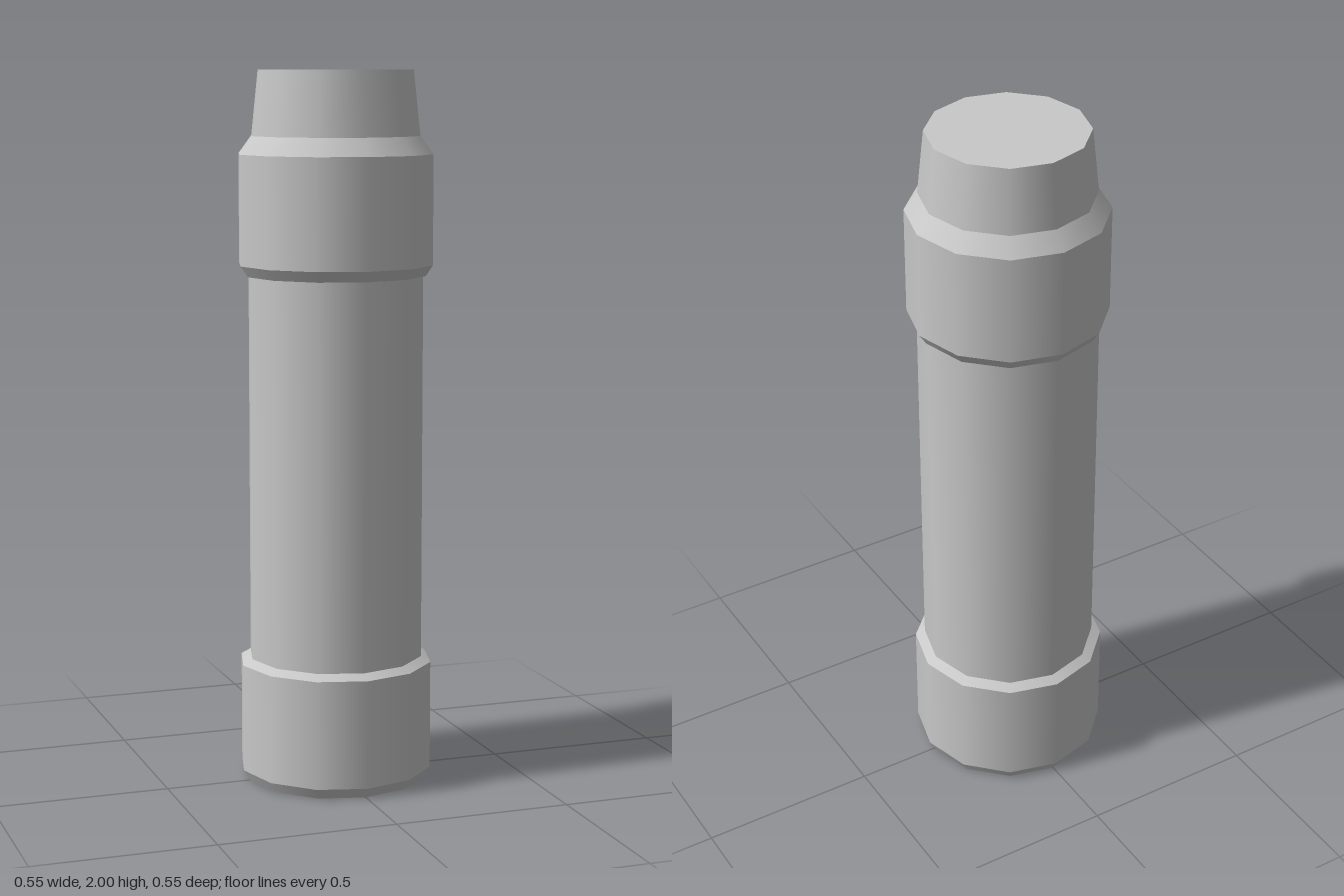
import * as THREE from 'three';
import { mergeGeometries } from 'three/addons/utils/BufferGeometryUtils.js';

const SIDES = 12;

// Stack of tapered bands from [radius, y] rings: smooth around, sharp between bands
function bands(rings, capBottom, capTop) {
  const parts = [];
  for (let i = 0; i < rings.length - 1; i++) {
    const [r0, y0] = rings[i];
    const [r1, y1] = rings[i + 1];
    parts.push(new THREE.CylinderGeometry(r1, r0, y1 - y0, SIDES, 1, true).translate(0, (y0 + y1) / 2, 0));
  }
  const cap = ([r, y], turn) => parts.push(new THREE.CircleGeometry(r, SIDES).rotateX(turn).translate(0, y, 0));
  if (capBottom) cap(rings[0], Math.PI / 2);
  if (capTop) cap(rings[rings.length - 1], -Math.PI / 2);
  return mergeGeometries(parts);
}

export function createModel() {
  const group = new THREE.Group();
  const grey = new THREE.MeshStandardMaterial({ color: 0xc8c8c8 });
  grey.name = 'light grey';

  const add = (name, geometry) => {
    const mesh = new THREE.Mesh(geometry, grey);
    mesh.name = name;
    group.add(mesh);
  };

  // Bevelled base collar
  add('baseCollar', bands([[0.258, 0], [0.275, 0.03], [0.275, 0.337], [0.248, 0.353]], true, false));
  // Straight body
  add('shaft', bands([[0.248, 0.353], [0.248, 1.435]], false, false));
  // Bevelled upper collar
  add('upperCollar', bands([[0.255, 1.435], [0.275, 1.465], [0.275, 1.77], [0.238, 1.82]], true, false));
  // Tapered end plug
  add('endPlug', bands([[0.238, 1.82], [0.219, 2]], false, true));

  return group;
}
